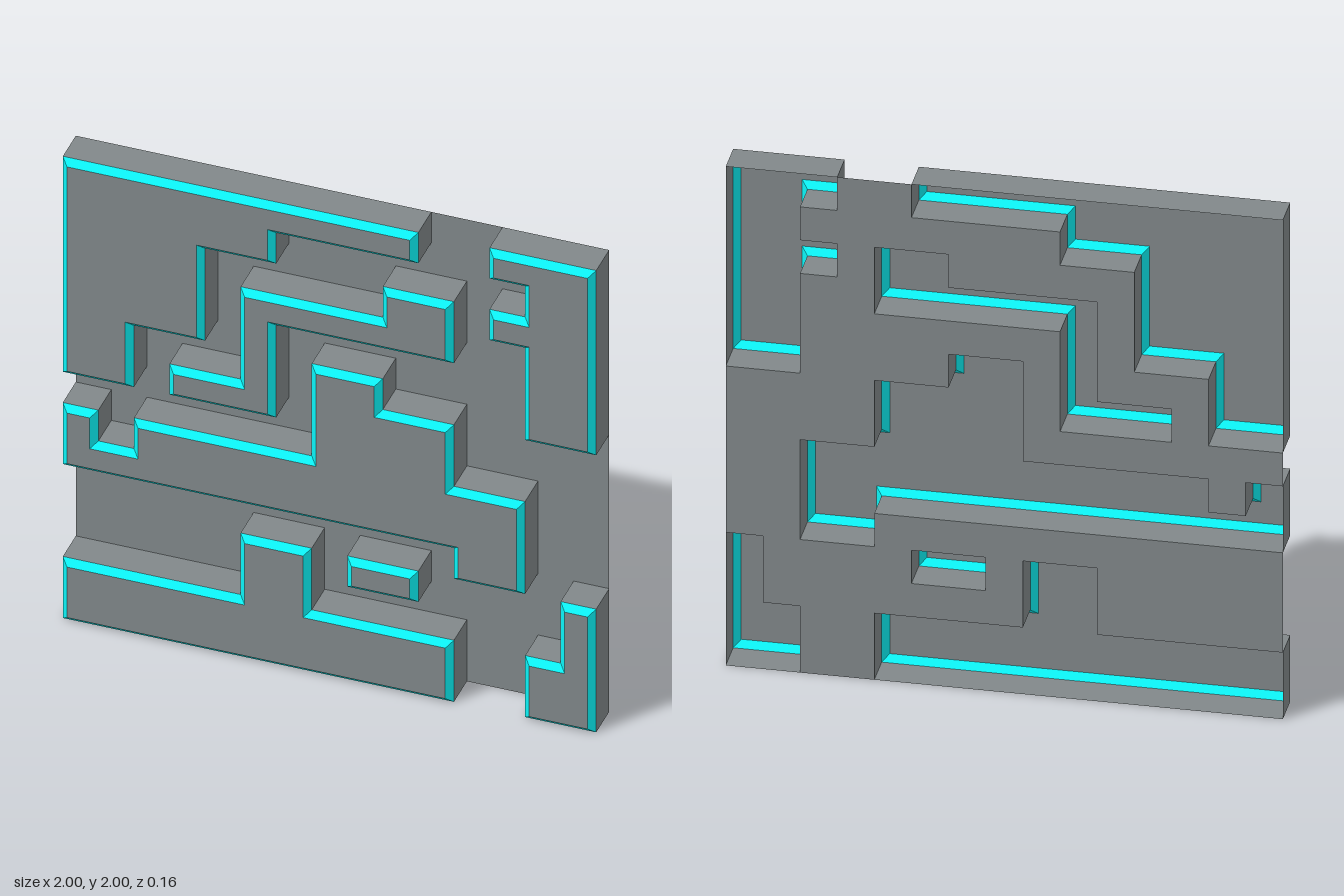
import * as THREE from 'three';

const CELL = 2 / 15; // the panel is a grid of 15 x 15 cells
const BACK = -0.078, SHOULDER = 0.054, FRONT = 0.078, INSET = 0.024;

// Stepped edges (in cells from the lower left) of the blocks that meet the panel border,
// in order around the recessed floor; "corners" close each block along the border.
const borderBlocks = [
  { name: 'upperLeftBlock',
    steps: [[0, 8], [2, 8], [2, 10], [4, 10], [4, 13], [6, 13], [6, 14], [10, 14], [10, 15]],
    corners: [[0, 15]] },
  { name: 'upperRightBlock',
    steps: [[12, 15], [12, 14], [13, 14], [13, 13], [12, 13], [12, 12], [13, 12], [13, 9], [15, 9]],
    corners: [[15, 15]] },
  { name: 'lowerRightBlock',
    steps: [[15, 4], [14, 4], [14, 2], [13, 2], [13, 0]],
    corners: [[15, 0]] },
  { name: 'lowerLeftBlock',
    steps: [[11, 0], [11, 2], [7, 2], [7, 4], [5, 4], [5, 2], [0, 2]],
    corners: [[0, 0]] },
  { name: 'middleBlock',
    steps: [[0, 5], [11, 5], [11, 4], [13, 4], [13, 7], [11, 7], [11, 9], [9, 9], [9, 10],
      [7, 10], [7, 7], [2, 7], [2, 6], [1, 6], [1, 7], [0, 7]],
    corners: [] },
];

// Blocks standing free inside the floor
const islandBlocks = [
  { name: 'steppedIsland',
    steps: [[3, 8], [6, 8], [6, 11], [11, 11], [11, 13], [9, 13], [9, 12], [5, 12], [5, 9], [3, 9]],
    corners: [] },
  { name: 'smallIsland',
    steps: [[8, 3], [10, 3], [10, 4], [8, 4]],
    corners: [] },
];

const toPoints = (cells) => cells.map(([i, j]) => new THREE.Vector2(i * CELL - 1, j * CELL));

// Counter-clockwise outline of a block
function outlineOf(block) {
  const points = toPoints([...block.steps, ...block.corners]);
  return THREE.ShapeUtils.isClockWise(points) ? points.reverse() : points;
}

// Move every right-angled corner inwards along both of its edges
function insetOutline(points, d) {
  const n = points.length;
  return points.map((p, i) => {
    const a = p.clone().sub(points[(i + n - 1) % n]).normalize();
    const b = points[(i + 1) % n].clone().sub(p).normalize();
    return new THREE.Vector2(p.x - (a.y + b.y) * d, p.y + (a.x + b.x) * d);
  });
}

// Flat quads joining two matching outlines at different depths
function band(lower, z0, upper, z1) {
  const position = [];
  lower.forEach((p, i) => {
    const j = (i + 1) % lower.length;
    const a = [p.x, p.y, z0], b = [lower[j].x, lower[j].y, z0];
    const c = [upper[j].x, upper[j].y, z1], d = [upper[i].x, upper[i].y, z1];
    position.push(...a, ...b, ...c, ...a, ...c, ...d);
  });
  const geometry = new THREE.BufferGeometry();
  geometry.setAttribute('position', new THREE.Float32BufferAttribute(position, 3));
  geometry.computeVertexNormals();
  return geometry;
}

function sheet(points, z, holes = []) {
  const shape = new THREE.Shape(points);
  shape.holes = holes.map((h) => new THREE.Path(h));
  return new THREE.ShapeGeometry(shape).translate(0, 0, z);
}

export function createModel() {
  const slate = new THREE.MeshStandardMaterial({ color: 0x81888a, side: THREE.DoubleSide });
  const cyan = new THREE.MeshStandardMaterial({ color: 0x0cf2f5, side: THREE.DoubleSide });

  const model = new THREE.Group();
  model.name = 'mazePanel';
  const add = (parent, name, geometry, material) => {
    const mesh = new THREE.Mesh(geometry, material);
    mesh.name = name;
    parent.add(mesh);
  };

  // Recessed floor, open behind every block
  const floorEdge = toPoints(borderBlocks.flatMap((b) => b.steps));
  add(model, 'recessedFloor', sheet(floorEdge, BACK, islandBlocks.map(outlineOf)), slate);

  // Hollow raised blocks: side walls, coloured bevel and front face
  for (const block of [...borderBlocks, ...islandBlocks]) {
    const group = new THREE.Group();
    group.name = block.name;
    const outer = outlineOf(block);
    const inner = insetOutline(outer, INSET);
    add(group, 'sideWalls', band(outer, BACK, outer, SHOULDER), slate);
    add(group, 'bevelTrim', band(outer, SHOULDER, inner, FRONT), cyan);
    add(group, 'frontFace', sheet(inner, FRONT), slate);
    model.add(group);
  }
  return model;
}
